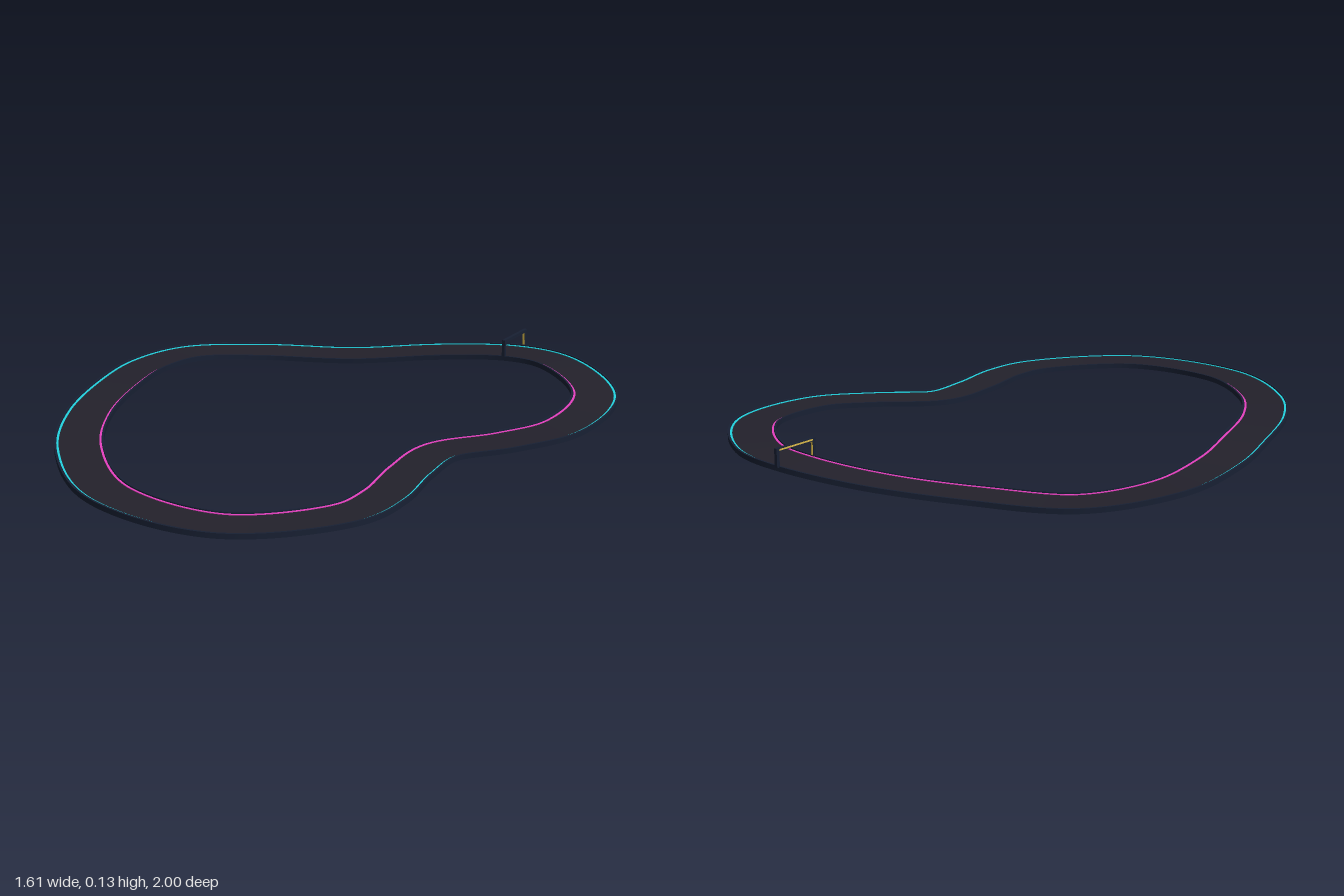
import * as THREE from 'three';

const material = (name, color) => {
  const m = new THREE.MeshStandardMaterial({ color });
  m.name = name;
  return m;
};

// Centre line of the circuit: x, underside height, z (clockwise seen from above)
const path = new THREE.CatmullRomCurve3([
  [0.21, 0.062, -0.922], [0.52, 0.056, -0.79], [0.648, 0.045, -0.51], [0.61, 0.036, -0.3],
  [0.535, 0.029, -0.09], [0.6, 0.027, 0.093], [0.695, 0.026, 0.275], [0.727, 0.025, 0.44],
  [0.575, 0.029, 0.78], [0.21, 0.037, 0.92], [-0.13, 0.05, 0.82], [-0.36, 0.06, 0.645],
  [-0.54, 0.063, 0.42], [-0.67, 0.053, 0.21], [-0.73, 0.033, -0.02], [-0.645, 0.007, -0.28],
  [-0.42, 0.008, -0.505], [-0.2, 0.033, -0.735], [0.025, 0.056, -0.885],
].map(p => new THREE.Vector3(...p)), true, 'centripetal');

const STEPS = 360;
const rings = Array.from({ length: STEPS }, (_, i) => {
  const t = path.getTangentAt(i / STEPS);
  const out = new THREE.Vector3(t.z, 0, -t.x).normalize();
  return { p: path.getPointAt(i / STEPS), out };
});

// Sweeps a section of [outward offset, height] points round the circuit,
// smooth along the road and sharp across it
function sweep(section) {
  const positions = [], indices = [];
  for (let s = 0; s + 1 < section.length; s++) {
    const base = positions.length / 3;
    for (const { p, out } of rings) {
      for (const [o, h] of [section[s], section[s + 1]]) {
        positions.push(p.x + out.x * o, p.y + h, p.z + out.z * o);
      }
    }
    for (let i = 0; i < STEPS; i++) {
      const a = base + 2 * i, b = base + 2 * ((i + 1) % STEPS);
      indices.push(a, a + 1, b, a + 1, b + 1, b);
    }
  }
  const geometry = new THREE.BufferGeometry();
  geometry.setAttribute('position', new THREE.Float32BufferAttribute(positions, 3));
  geometry.setIndex(indices);
  geometry.computeVertexNormals();
  return geometry;
}

export function createModel() {
  const navy = material('navy frame', 0x182033);
  const asphalt = material('dark asphalt', 0x23212b);
  const cyan = material('cyan edge light', 0x22d3e0);
  const pink = material('pink edge light', 0xe640c0);
  const yellow = material('yellow gate light', 0xd8b84a);

  const model = new THREE.Group();
  model.name = 'raceTrack';
  const add = (parent, name, geometry, mat, x = 0, y = 0, z = 0) => {
    const mesh = new THREE.Mesh(geometry, mat);
    mesh.name = name;
    mesh.position.set(x, y, z);
    parent.add(mesh);
  };

  // Underside, side walls and raised rims
  const W = 0.078, R = 0.071, DECK = 0.011, RIM = 0.017;
  add(model, 'trackBody', sweep([
    [-R, DECK], [-R, RIM], [-W, RIM], [-W, 0], [W, 0], [W, RIM], [R, RIM], [R, DECK],
  ]), navy);

  // Road surface and the glowing lines inside the rims
  add(model, 'roadSurface', sweep([[R, DECK], [-R, DECK]]), asphalt);
  const line = s => sweep([[s + 0.0035, DECK], [s + 0.0035, DECK + 0.002],
    [s - 0.0035, DECK + 0.002], [s - 0.0035, DECK]]);
  add(model, 'outerLightLine', line(0.067), cyan);
  add(model, 'innerLightLine', line(-0.067), pink);

  // Start gate: its local x runs across the road towards the infield
  const gate = new THREE.Group();
  gate.name = 'startGate';
  gate.position.set(0.025, 0, -0.89);
  gate.rotation.y = Math.atan2(-0.155, 0.05);
  model.add(gate);
  for (const side of [-1, 1]) {
    add(gate, 'gatePost', new THREE.BoxGeometry(0.011, 0.06, 0.011), navy, side * 0.076, 0.1, 0);
    add(gate, 'postLight', new THREE.BoxGeometry(0.002, 0.046, 0.007), yellow, side * 0.07, 0.097, 0);
  }
  add(gate, 'gateBeam', new THREE.BoxGeometry(0.163, 0.011, 0.011), navy, 0, 0.1255, 0);
  add(gate, 'beamLight', new THREE.BoxGeometry(0.14, 0.005, 0.002), yellow, 0, 0.1255, 0.006);

  return model;
}
